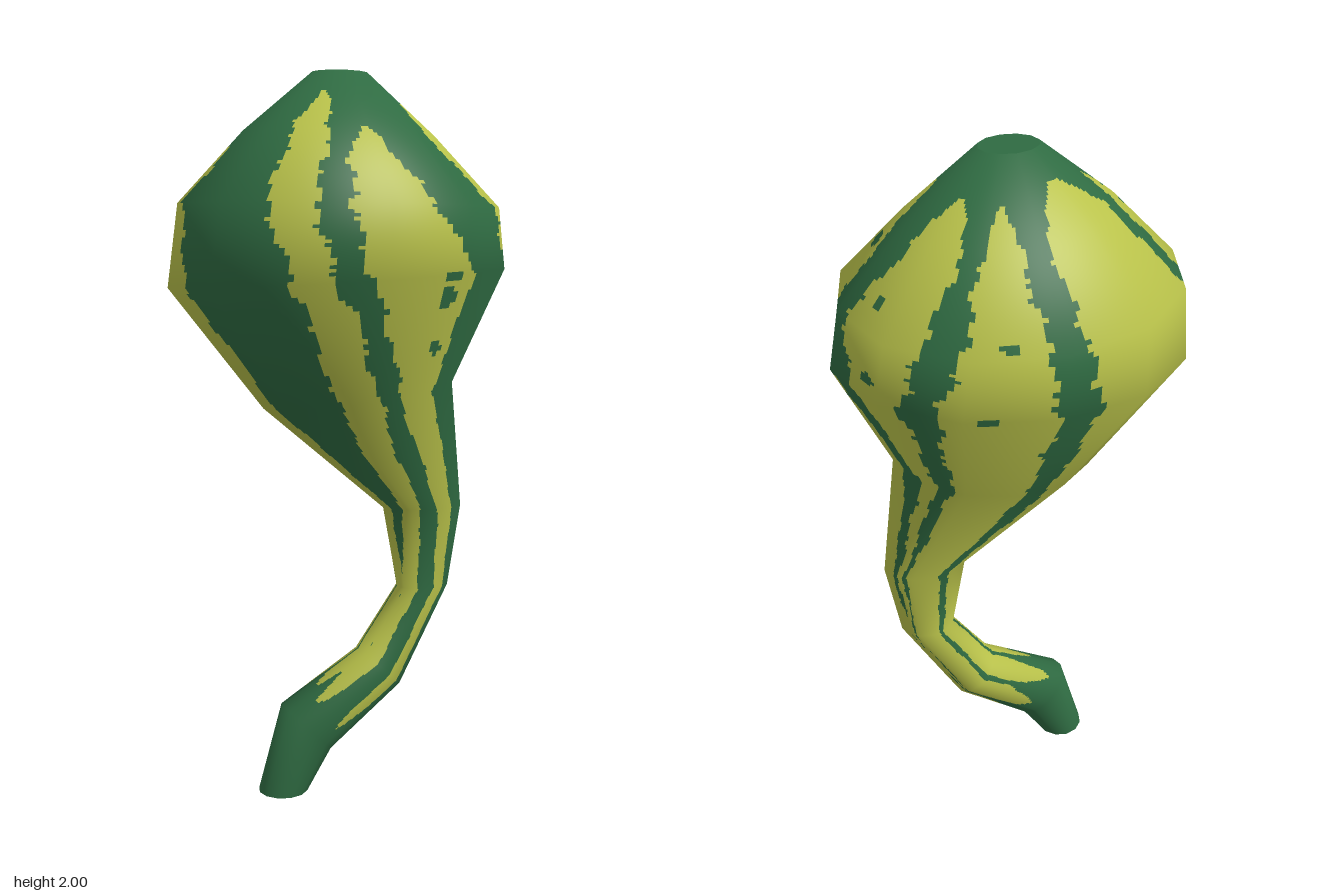
import * as THREE from 'three';

// Rings up the gourd: left x, left y, right x, right y, half depth
const RINGS = [
  [-0.24, 0, -0.10, 0, 0.07],
  [-0.17, 0.25, -0.03, 0.11, 0.08],
  [0.06, 0.39, 0.18, 0.28, 0.08],
  [0.18, 0.565, 0.335, 0.565, 0.06],
  [0.135, 0.80, 0.375, 0.80, 0.08],
  [-0.22, 1.10, 0.33, 1.17, 0.225],
  [-0.48, 1.43, 0.475, 1.48, 0.375],
  [-0.45, 1.65, 0.445, 1.64, 0.40],
  [-0.27, 1.84, 0.27, 1.83, 0.22],
  [-0.075, 2.0, 0.08, 2.0, 0.06],
];
const SIDES = 12, SUB_A = 14, SUB_V = 22;

// Pale streaks: where each ends, and its [from, to] angles at five ring levels
const LEVELS = [8, 7, 6, 5, 3];
const STREAKS = [
  { top: 8.65, bottom: 1.2, edges: [[212, 266], [207, 262], [203, 256], [205, 250], [195, 246]] },
  { top: 8.45, bottom: 1.2, edges: [[281, 300], [275, 303], [271, 309], [266, 308], [257, 310]] },
  { top: 8.5, bottom: 2, edges: [[311, 344], [318, 356], [322, 346], [319, 329], [312, 320]] },
  { top: 8.5, bottom: 1.15, edges: [[18, 42], [9, 35], [0, 28], [-14, 22], [-40, 18]] },
  { top: 8.05, bottom: 1.2, edges: [[83, 103], [73, 103], [55, 96], [58, 82], [57, 82]] },
  { top: 8.65, bottom: 1.25, edges: [[112, 134], [116, 133], [106, 120], [95, 117], [118, 152]] },
  { top: 8.45, bottom: 1.4, edges: [[180, 194], [176, 192], [168, 190], [165, 190], [150, 185]] },
];
// Dark freckles: ring position, angle, radius in degrees
const FRECKLES = [
  [7.3, 343, 3], [6.3, 337, 4], [7.6, 24, 4], [6.0, 65, 3], [5.82, 66, 3.5],
  [5.4, 66, 3], [7.1, 288, 2.5], [6, 292, 3],
];

const { lerp, clamp } = THREE.MathUtils;
const wrap = d => ((d + 540) % 360) - 180;
const wobble = (v, s) => 1.3 * Math.sin(v * 9 + s * 2.1) + 0.9 * Math.sin(v * 23 + s * 4.7) + 0.5 * Math.sin(v * 51 + s);

// A streak narrows to a rounded tip at both ends and has wavy sides
function inStreak({ top, bottom, edges }, s, v, deg) {
  if (v > top || v < bottom) return false;
  const level = clamp(v, 3, 8);
  const i = Math.min(LEVELS.findLastIndex(l => l >= level), LEVELS.length - 2);
  const t = (LEVELS[i] - level) / (LEVELS[i] - LEVELS[i + 1]);
  const lo = lerp(edges[i][0], edges[i + 1][0], t) + wobble(v, s);
  const hi = lerp(edges[i][1], edges[i + 1][1], t) + wobble(v, s + 9);
  const taper = Math.sqrt(Math.min(1, Math.min(top - v, v - bottom) / 0.5));
  return Math.abs(wrap(deg - (lo + hi) / 2)) < (hi - lo) / 2 * taper;
}

function isPale(v, deg) {
  const freckled = FRECKLES.some(([fv, fa, r]) => Math.hypot(wrap(deg - fa), (v - fv) * 45) < r);
  return !freckled && STREAKS.some((streak, s) => inStreak(streak, s, v, deg));
}

// Corner of the twelve-sided cage
function cagePoint(k, j) {
  const [lx, ly, rx, ry, b] = RINGS[k];
  const t = j / SIDES * Math.PI * 2, c = Math.cos(t) / 2;
  return new THREE.Vector3((lx + rx) / 2 + c * (rx - lx), (ly + ry) / 2 + c * (ry - ly), Math.sin(t) * b);
}

// Smooth normal at a cage corner
function cageNormal(k, j) {
  const across = cagePoint(k, j + 1).sub(cagePoint(k, j - 1));
  const here = cagePoint(k, j), along = new THREE.Vector3();
  if (k < RINGS.length - 1) along.add(cagePoint(k + 1, j).sub(here).normalize());
  if (k > 0) along.add(here.clone().sub(cagePoint(k - 1, j)).normalize());
  const n = along.cross(across).normalize();
  if (k === RINGS.length - 1) n.y += 0.8;
  return n.normalize();
}

// Fine grid laid on the flat-sided cage, sorted into two colour groups
function bodyGeometry() {
  const cols = SIDES * SUB_A, rows = (RINGS.length - 1) * SUB_V;
  const pos = [], nor = [], dark = [], pale = [];
  const blend = (f, k, j, tv, ta) => f(k, j).lerp(f(k, j + 1), ta)
    .lerp(f(k + 1, j).lerp(f(k + 1, j + 1), ta), tv);
  for (let r = 0; r <= rows; r++) {
    const k = Math.min(Math.floor(r / SUB_V), RINGS.length - 2), tv = r / SUB_V - k;
    for (let c = 0; c <= cols; c++) {
      const j = Math.floor(c / SUB_A), ta = c / SUB_A - j;
      pos.push(...blend(cagePoint, k, j, tv, ta).toArray());
      nor.push(...blend(cageNormal, k, j, tv, ta).normalize().toArray());
    }
  }
  for (let r = 0; r < rows; r++) {
    for (let c = 0; c < cols; c++) {
      const a = r * (cols + 1) + c, b = a + cols + 1;
      const list = isPale((r + 0.5) / SUB_V, (c + 0.5) / cols * 360) ? pale : dark;
      list.push(a, b, a + 1, b, b + 1, a + 1);
    }
  }
  const g = new THREE.BufferGeometry();
  g.setAttribute('position', new THREE.Float32BufferAttribute(pos, 3));
  g.setAttribute('normal', new THREE.Float32BufferAttribute(nor, 3));
  g.setIndex(dark.concat(pale));
  g.addGroup(0, dark.length, 0);
  g.addGroup(dark.length, pale.length, 1);
  return g;
}

// Flat end closing the first or last ring
function endCap(k, up) {
  const [lx, y, rx, , b] = RINGS[k];
  return new THREE.CircleGeometry(1, SIDES).rotateX(up ? -Math.PI / 2 : Math.PI / 2)
    .scale((rx - lx) / 2, 1, b).translate((lx + rx) / 2, y, 0);
}

export function createModel() {
  const green = new THREE.MeshStandardMaterial({ color: 0x2f6b42 });
  green.name = 'dark green rind';
  const yellow = new THREE.MeshStandardMaterial({ color: 0xb9c24a });
  yellow.name = 'yellow green streak';

  const group = new THREE.Group();
  group.name = 'gourd';
  const add = (name, geometry, material) => {
    const mesh = new THREE.Mesh(geometry, material);
    mesh.name = name;
    group.add(mesh);
  };
  add('body', bodyGeometry(), [green, yellow]);
  add('crown', endCap(RINGS.length - 1, true), green);
  add('stemEnd', endCap(0, false), green);
  return group;
}
